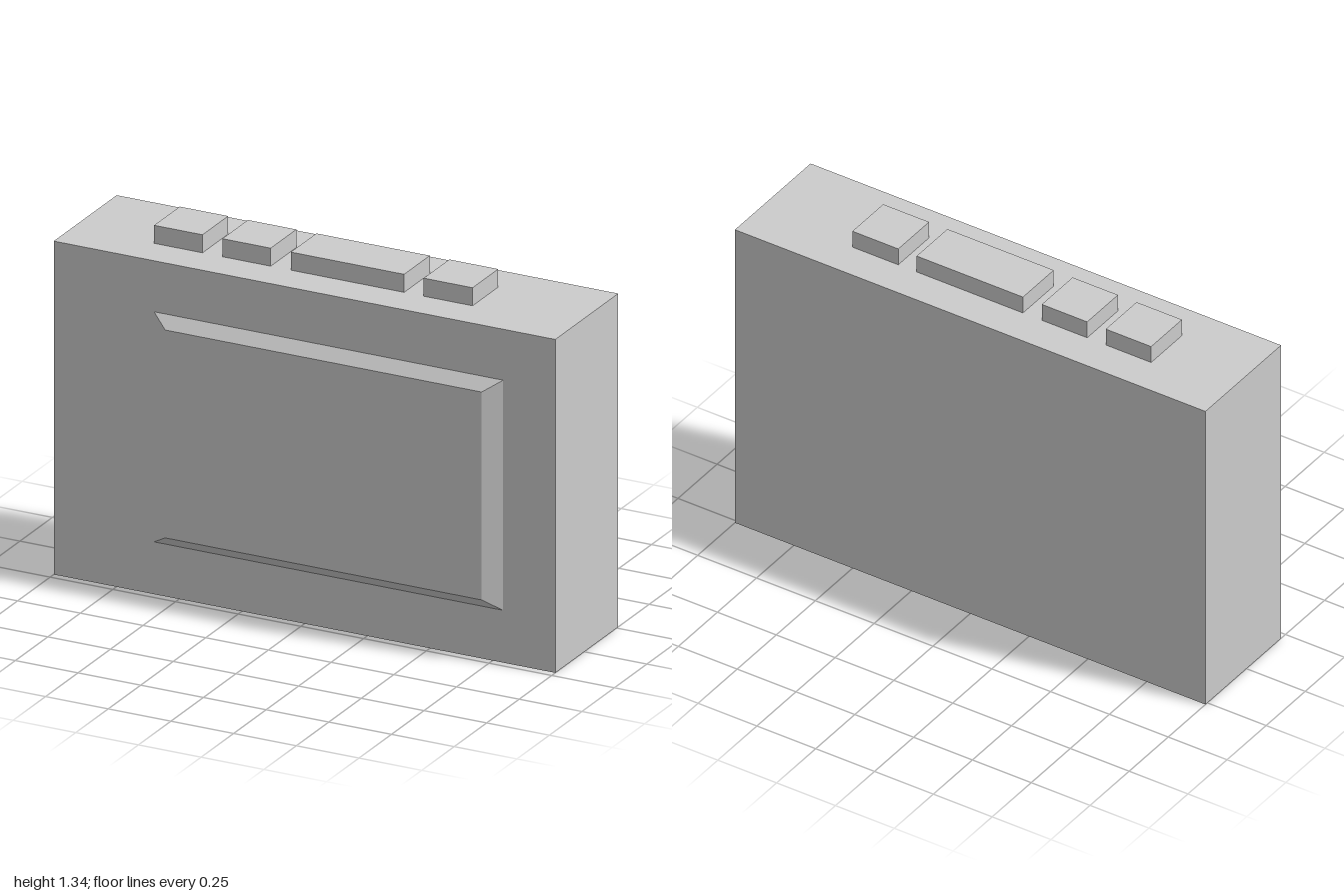
import * as THREE from 'three';

const material = new THREE.MeshStandardMaterial({ color: 0xcccccc, flatShading: true });

// Box given by its extents on each axis
function box(name, [x0, x1], [y0, y1], [z0, z1]) {
  const geometry = new THREE.BoxGeometry(x1 - x0, y1 - y0, z1 - z0);
  geometry.translate((x0 + x1) / 2, (y0 + y1) / 2, (z0 + z1) / 2);
  const mesh = new THREE.Mesh(geometry, material);
  mesh.name = name;
  return mesh;
}

export function createModel() {
  const group = new THREE.Group();
  group.name = 'device';

  const top = 1.275, front = 0.222;
  group.add(box('body', [-1, 1], [0, top], [-0.262, front]));

  // Raised front panel: a box whose front face is drawn in to make bevels
  const panel = box('frontPanel', [-0.6, 0.792], [0.2, 1.08], [front, 0.262]);
  const p = panel.geometry.attributes.position;
  for (let i = 0; i < p.count; i++) {
    if (p.getZ(i) < 0.25) continue;
    p.setX(i, p.getX(i) < 0 ? -0.535 : 0.727);
    p.setY(i, p.getY(i) < 0.6 ? 0.242 : 1.037);
  }
  panel.geometry.computeVertexNormals();
  group.add(panel);

  // Row of buttons on top
  const buttons = [[-0.675, -0.482], [-0.403, -0.21], [-0.13, 0.322], [0.4, 0.595]];
  buttons.forEach((x, i) => {
    group.add(box(`topButton${i + 1}`, x, [top, 1.344], [-0.12, 0.077]));
  });

  return group;
}
